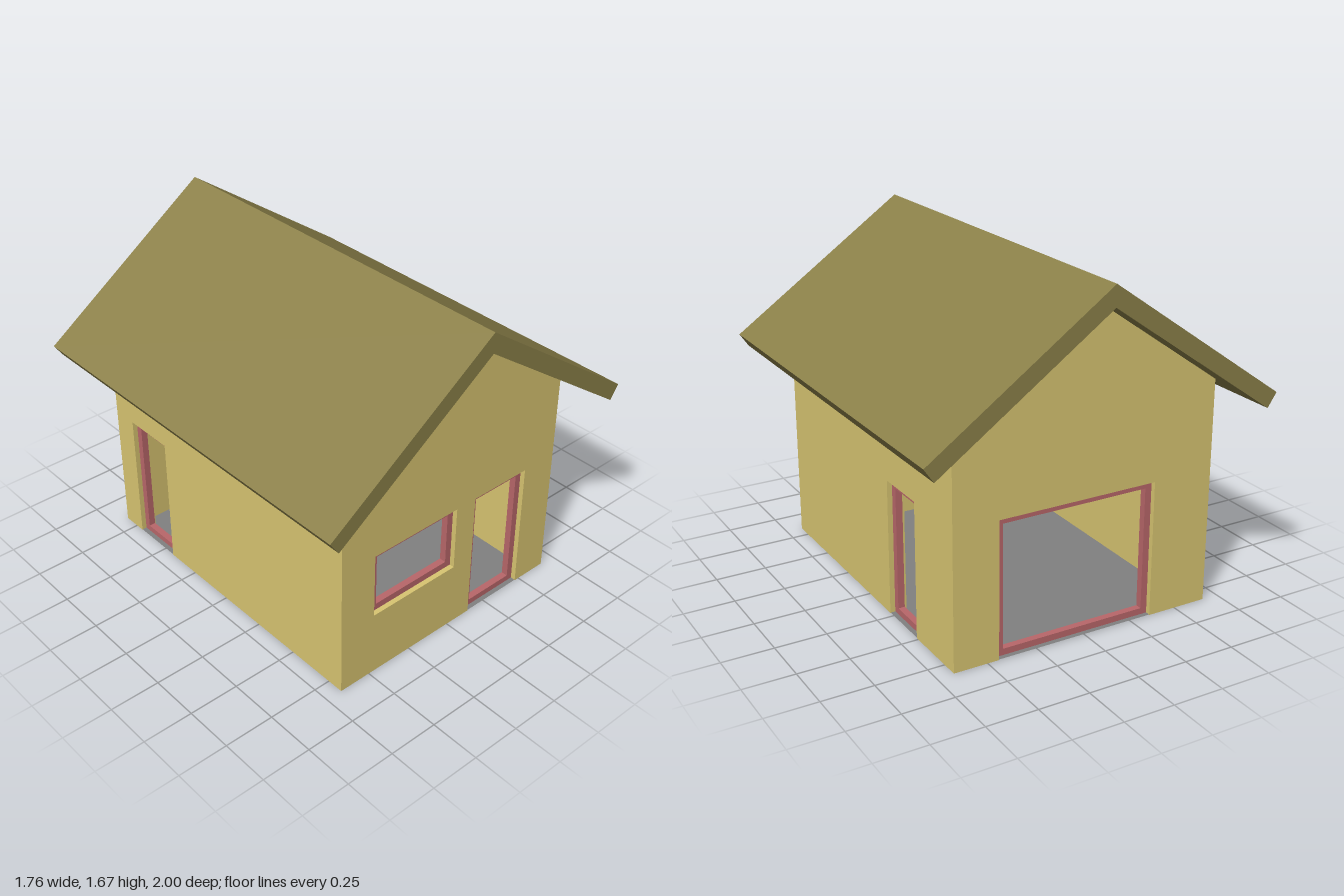
import * as THREE from 'three';

const HALF_W = 0.667, HALF_L = 0.833, WALL = 0.083, FRAME = 0.033;
const material = (color, side = THREE.FrontSide) =>
  new THREE.MeshStandardMaterial({ color, side, flatShading: true });
const wallMat = material(0xd8c571);
const roofMat = material(0x8b8049);
const frameMat = material(0xb9676a);
const floorMat = material(0x808080, THREE.DoubleSide);

const toPoints = (list) => list.map(([x, y]) => new THREE.Vector2(x, y));
const rect = (u0, u1, v0, v1) => [[u0, v0], [u1, v0], [u1, v1], [u0, v1]];

function extrude(name, shape, depth, zStart, mat) {
  const geo = new THREE.ExtrudeGeometry(shape, { depth, bevelEnabled: false });
  geo.translate(0, 0, zStart);
  const mesh = new THREE.Mesh(geo, mat);
  mesh.name = name;
  return mesh;
}

// A wall whose outer face lies at local z = 0. top: outline points from right to left.
// openings: { name, u0, u1, v0, v1 }; those with v0 = 0 are cut through the lower edge.
function buildWall(name, halfWidth, top, openings) {
  const group = new THREE.Group();
  group.name = name;
  const outline = [[-halfWidth, 0]];
  const holes = [];
  for (const o of openings) {
    if (o.v0 === 0) outline.push([o.u0, 0], [o.u0, o.v1], [o.u1, o.v1], [o.u1, 0]);
    else holes.push(new THREE.Path(toPoints(rect(o.u0, o.u1, o.v0, o.v1))));
  }
  outline.push([halfWidth, 0], ...top);
  const shape = new THREE.Shape(toPoints(outline));
  shape.holes.push(...holes);
  group.add(extrude(name + 'Panel', shape, WALL, -WALL, wallMat));

  // frames sit in the middle of the wall thickness
  for (const o of openings) {
    const f = new THREE.Shape(toPoints(rect(o.u0, o.u1, o.v0, o.v1)));
    f.holes.push(new THREE.Path(toPoints(
      rect(o.u0 + FRAME, o.u1 - FRAME, o.v0 + FRAME, o.v1 - FRAME))));
    group.add(extrude(o.name, f, FRAME, -(WALL + FRAME) / 2, frameMat));
  }
  return group;
}

export function createModel() {
  const house = new THREE.Group();
  house.name = 'house';
  const gableTop = [[HALF_W, 1.1], [0, 1.567], [-HALF_W, 1.1]];
  const sideHalf = HALF_L - WALL;
  const sideTop = [[sideHalf, 1.155], [-sideHalf, 1.155]]; // tucked into the roof
  const door = (name, u0, u1) => ({ name, u0, u1, v0: 0, v1: 0.667 });

  // gable walls
  const front = buildWall('frontWall', HALF_W, gableTop, [
    { name: 'frontWindowFrame', u0: -0.475, u1: 0.025, v0: 0.333, v1: 0.667 },
    door('frontDoorFrame', 0.142, 0.475),
  ]);
  front.position.z = HALF_L;
  const back = buildWall('backWall', HALF_W, gableTop, [door('backDoorFrame', -0.443, 0.358)]);
  back.rotation.y = Math.PI;
  back.position.z = -HALF_L;

  // side walls between the gables (+x side, then -x side)
  const plusX = buildWall('leftWall', sideHalf, sideTop, [door('leftDoorFrame', 0.22, 0.487)]);
  plusX.rotation.y = Math.PI / 2;
  plusX.position.x = HALF_W;
  const minusX = buildWall('rightWall', sideHalf, sideTop, [door('rightDoorFrame', -0.702, -0.435)]);
  minusX.rotation.y = -Math.PI / 2;
  minusX.position.x = -HALF_W;

  // pitched roof
  const roofShape = new THREE.Shape(toPoints([
    [0, 1.667], [-0.88, 1.051], [-0.834, 0.984], [0, 1.567], [0.834, 0.984], [0.88, 1.051],
  ]));
  const roof = extrude('roof', roofShape, 2, -1, roofMat);

  // thin floor, reaching under the door openings
  const floor = new THREE.Mesh(new THREE.PlaneGeometry(2 * HALF_W - 0.002, 2 * HALF_L - 0.002), floorMat);
  floor.name = 'floor';
  floor.rotation.x = -Math.PI / 2;
  floor.position.y = 0.002;

  house.add(front, back, plusX, minusX, roof, floor);
  return house;
}
